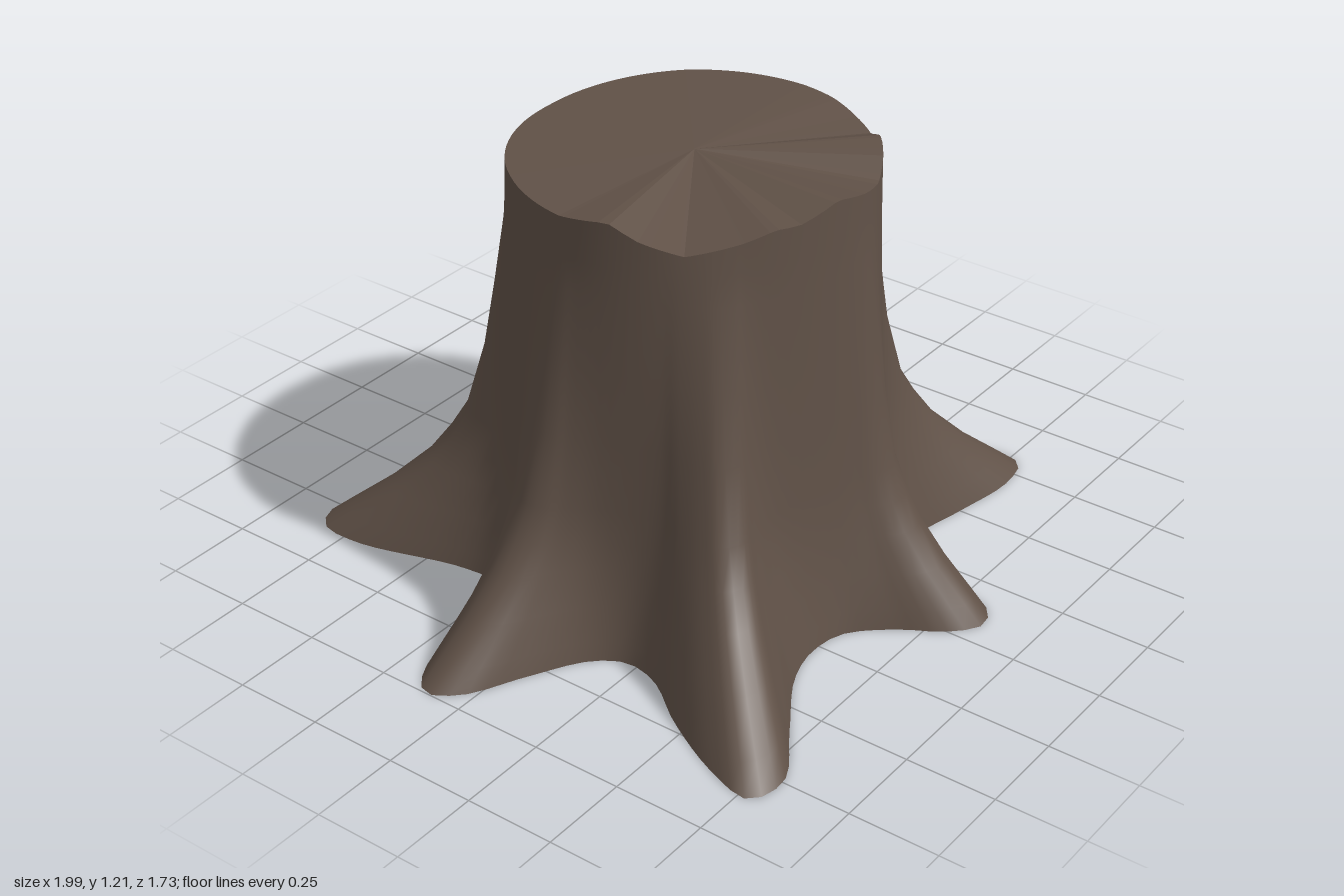
import * as THREE from 'three';

const CX = -0.065, CZ = 0.035, RX = 0.485, RZ = 0.465, N = 168;

// Ground outline of the seven roots, as [x, z] pairs
const OUTLINE = [
  [0.36, -0.28], [0.45, -0.25], [0.7, -0.235], [0.9, -0.21], [0.99, -0.14], [0.94, -0.04], [0.82, 0.03], [0.65, 0.11],
  [0.59, 0.16], [0.66, 0.25], [0.81, 0.42], [0.81, 0.53], [0.7, 0.56], [0.5, 0.53], [0.33, 0.5],
  [0.25, 0.53], [0.19, 0.68], [0.15, 0.83], [0.08, 0.86], [0, 0.8], [-0.07, 0.69], [-0.17, 0.59],
  [-0.28, 0.57], [-0.4, 0.6], [-0.58, 0.71], [-0.75, 0.81], [-0.85, 0.78], [-0.82, 0.65], [-0.72, 0.46], [-0.62, 0.32],
  [-0.6, 0.22], [-0.65, 0.14], [-0.8, 0.05], [-0.95, -0.03], [-1, -0.11], [-0.94, -0.17], [-0.8, -0.21], [-0.6, -0.24],
  [-0.53, -0.29], [-0.53, -0.4], [-0.61, -0.7], [-0.6, -0.83], [-0.52, -0.87], [-0.38, -0.78], [-0.22, -0.6],
  [-0.14, -0.51], [-0.05, -0.49], [0.03, -0.52], [0.15, -0.63], [0.3, -0.71], [0.37, -0.68], [0.39, -0.57], [0.36, -0.4],
];

// Height and amount of root flare left at that height
const FLARE = [[0, 1], [0.05, 0.88], [0.14, 0.66], [0.24, 0.46], [0.32, 0.35], [0.41, 0.25],
  [0.6, 0.15], [0.8, 0.085], [1.0, 0.025], [1.09, 0.01]];

// Jagged cut edge: angle in degrees (from +x towards +z) and height
const RIM = [[0, 1.185], [12, 1.18], [24, 1.165], [35, 1.155], [45, 1.19], [56, 1.185], [68, 1.15], [80, 1.17],
  [95, 1.205], [110, 1.18], [118, 1.185], [128, 1.165], [145, 1.14], [158, 1.17], [168, 1.21], [185, 1.19],
  [215, 1.195], [270, 1.182], [320, 1.19], [360, 1.185]];

function rimHeight(angle) {
  const d = (THREE.MathUtils.radToDeg(angle) + 360) % 360;
  const k = Math.max(1, RIM.findIndex(([a]) => a >= d));
  const [a0, h0] = RIM[k - 1], [a1, h1] = RIM[k];
  return h0 + (h1 - h0) * (d - a0) / (a1 - a0);
}

function build(positions, indices) {
  const g = new THREE.BufferGeometry();
  g.setAttribute('position', new THREE.Float32BufferAttribute(positions, 3));
  g.setIndex(indices);
  return g;
}

// Triangle fan from a centre to a ring of points
function fan(ring, y, up) {
  const pos = [CX, y, CZ, ...ring.flat()], idx = [];
  for (let j = 0; j < ring.length; j++) {
    const a = j + 1, b = (j + 1) % ring.length + 1;
    if (up) idx.push(0, b, a);
    else idx.push(0, a, b);
  }
  const g = build(pos, idx).toNonIndexed();
  g.computeVertexNormals();
  return g;
}

export function createModel() {
  const wood = new THREE.MeshStandardMaterial({ color: 0x605147 });
  wood.name = 'brown wood';

  const curve = new THREE.CatmullRomCurve3(OUTLINE.map(([x, z]) => new THREE.Vector3(x, 0, z)), true);
  const base = curve.getSpacedPoints(N).slice(0, N);
  const angles = base.map((p) => Math.atan2(p.z - CZ, p.x - CX));

  // Cross-sections blend from the root outline to the round trunk
  const section = (f, height) => base.map((p, j) => {
    const tx = CX + RX * Math.cos(angles[j]), tz = CZ + RZ * Math.sin(angles[j]);
    return [tx + (p.x - tx) * f, height(angles[j]), tz + (p.z - tz) * f];
  });
  const rings = FLARE.map(([y, f]) => section(f, () => y));
  rings.push(section(0, rimHeight));

  // Bark surface
  const idx = [];
  for (let r = 0; r < rings.length - 1; r++) {
    for (let j = 0; j < N; j++) {
      const a = r * N + j, b = r * N + (j + 1) % N, c = a + N, d = b + N;
      idx.push(a, c, b, b, c, d);
    }
  }
  const bark = build(rings.flat(2), idx);
  bark.computeVertexNormals();

  const group = new THREE.Group();
  group.name = 'treeStump';
  const add = (name, geometry) => {
    const mesh = new THREE.Mesh(geometry, wood);
    mesh.name = name;
    group.add(mesh);
  };
  add('trunkAndRoots', bark);
  add('cutTop', fan(rings[rings.length - 1], 1.19, true));
  add('underside', fan(rings[0], 0, false));
  return group;
}
